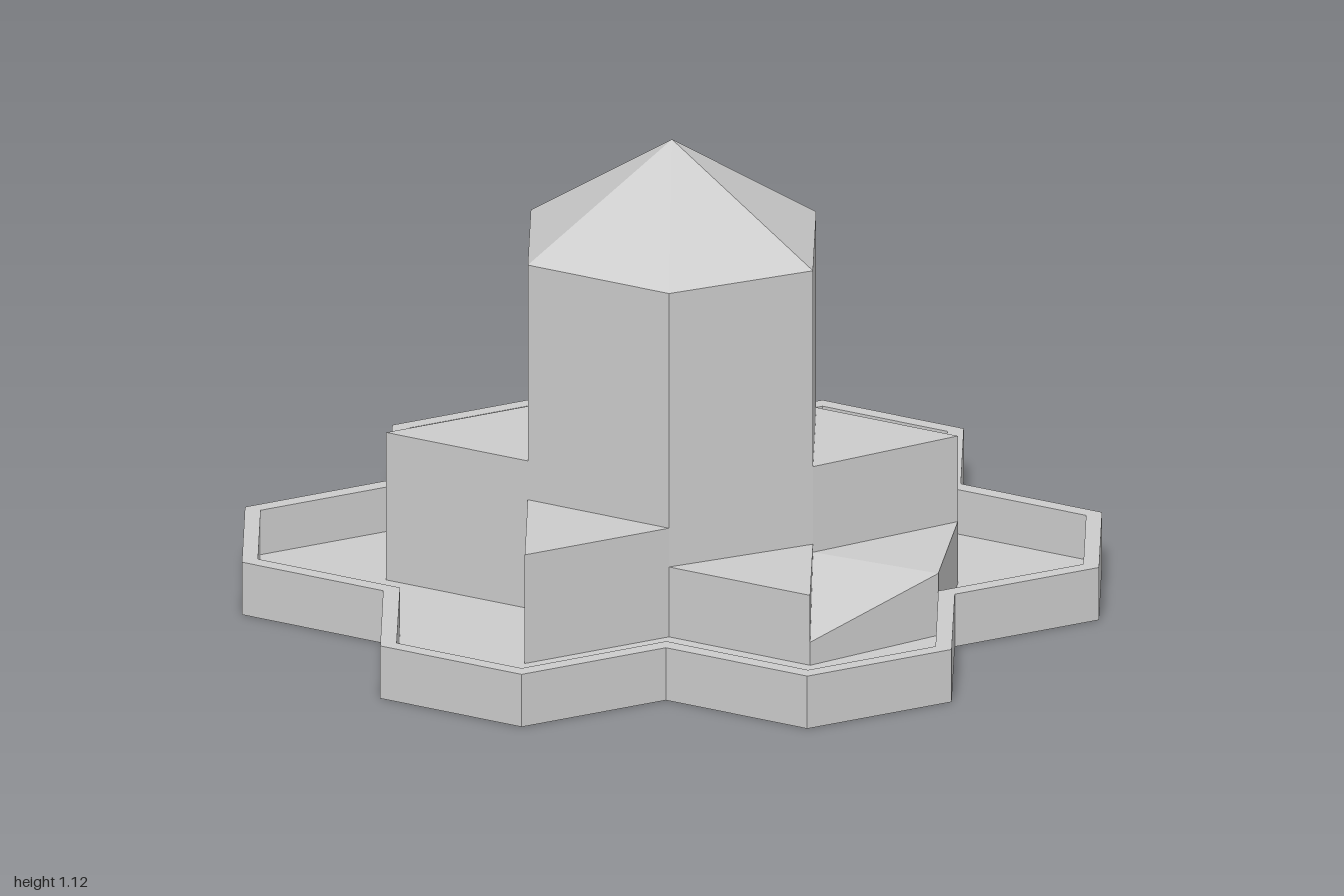
import * as THREE from 'three';
import { ConvexGeometry } from 'three/addons/geometries/ConvexGeometry.js';

const material = new THREE.MeshStandardMaterial({ color: 0xcccccc, flatShading: true });
const toVec = (points) => points.map(([x, z]) => new THREE.Vector2(x, -z));

// Upright prism from [x, z] plan points; a hole must wind the opposite way to its outline
function prism(points, y0, y1, hole) {
  const shape = new THREE.Shape(toVec(points));
  if (hole) shape.holes.push(new THREE.Path(toVec(hole)));
  const geo = new THREE.ExtrudeGeometry(shape, { depth: y1 - y0, bevelEnabled: false });
  return geo.rotateX(-Math.PI / 2).translate(0, y0, 0);
}

// Outline of six hexagonal petals from one pattern of three corners, turned six times
function petals(corners) {
  const out = [];
  for (let i = 0; i < 6; i++) {
    const c = Math.cos(i * Math.PI / 3), s = Math.sin(i * Math.PI / 3);
    for (const [x, z] of corners) out.push([x * c - z * s, x * s + z * c]);
  }
  return out;
}

export function createModel() {
  const model = new THREE.Group();
  const add = (name, geo) => {
    const mesh = new THREE.Mesh(geo, material);
    mesh.name = name;
    model.add(mesh);
  };

  const FLOOR = 0.02, RIM = 0.13, EAVES = 0.87, APEX = 1.115;
  const outer = petals([[1, -0.1925], [1, 0.1925], [0.667, 0.385]]);
  const inner = petals([[0.963, -0.17], [0.963, 0.17], [0.628, 0.3625]]).reverse();

  // Base tray
  add('trayFloor', prism(outer, 0, FLOOR));
  add('trayRim', prism(outer, FLOOR, RIM, inner));

  // Tower, with one front corner slightly out of line
  const hex = [[0.333, 0.22], [0, 0.385], [-0.333, 0.1925],
    [-0.333, -0.1925], [0, -0.385], [0.333, -0.1925]];
  add('tower', prism(hex, FLOOR, EAVES));
  const roofPoints = hex.map(([x, z]) => new THREE.Vector3(x, EAVES, z));
  roofPoints.push(new THREE.Vector3(0, APEX, 0));
  add('roof', new ConvexGeometry(roofPoints));

  // Star points around the tower, each on one side of the hexagon
  const tips = [[0.333, 0.577, 0.193], [-0.333, 0.577, 0.289], [-0.667, 0, 0.385],
    [-0.333, -0.577, 0.289], [0.333, -0.577, 0.193], [0.667, 0, 0.385]];
  tips.forEach(([x, z, h], i) => {
    add('starPoint', prism([hex[i], [x, z], hex[(i + 1) % 6]], FLOOR, h));
  });

  // Ledges and ramps between the right star points
  for (const side of [1, -1]) {
    const root = side > 0 ? hex[0] : hex[5];
    const corner = [0.628, 0.362 * side], tip = [0.333, 0.577 * side];
    add('ledge', prism([root, corner, [0.667, 0]], FLOOR, 0.173));
    const ramp = prism([root, tip, corner], FLOOR, 0.173);
    const p = ramp.attributes.position;
    for (let i = 0; i < p.count; i++) {
      // Lower the top at the star tip
      if (Math.abs(p.getZ(i)) > 0.57 && p.getY(i) > 0.1) p.setY(i, 0.077);
    }
    ramp.computeVertexNormals();
    add('ramp', ramp);
  }
  return model;
}
